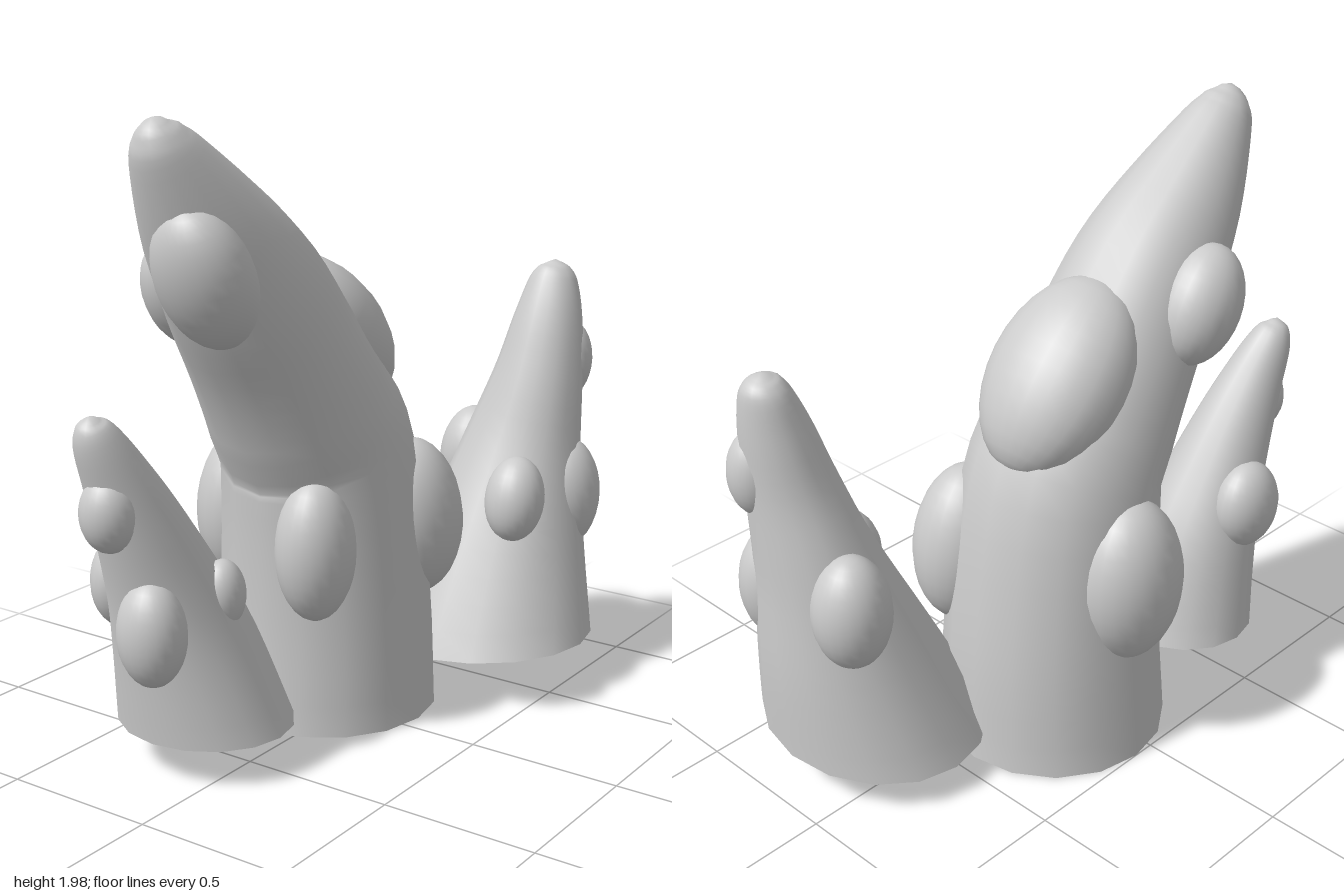
import * as THREE from 'three';

const material = new THREE.MeshStandardMaterial({ color: 0xcccccc, side: THREE.DoubleSide });
const SIDES = 16, STEPS = 4;

// Bent, tapering spire. Each section is [x, y, z, radiusX, radiusZ]; baseNormal sets the cut at the foot.
function spire(name, sections, baseNormal) {
  const spline = (pts) => new THREE.CatmullRomCurve3(pts, false, 'catmullrom', 0.5);
  const path = spline(sections.map((s) => new THREE.Vector3(s[0], s[1], s[2])));
  const radii = spline(sections.map((s) => new THREE.Vector3(s[3], s[4] ?? s[3], 0)));
  const rings = (sections.length - 1) * STEPS;
  const up = new THREE.Vector3(...baseNormal).normalize();
  const verts = [], index = [];

  for (let i = 0; i <= rings; i++) {
    const t = i / rings;
    const c = path.getPoint(t), r = radii.getPoint(t);
    const tangent = up.clone().lerp(path.getTangent(t), Math.min(1, i / (STEPS * 2))).normalize();
    const u = new THREE.Vector3(1, 0, 0).addScaledVector(tangent, -tangent.x).normalize();
    const v = tangent.clone().cross(u);
    for (let j = 0; j < SIDES; j++) {
      const a = (j / SIDES) * Math.PI * 2;
      const p = c.clone().addScaledVector(u, r.x * Math.cos(a)).addScaledVector(v, r.y * Math.sin(a));
      verts.push(p.x, p.y, p.z);
    }
  }
  for (let i = 0; i < rings; i++) {
    for (let j = 0; j < SIDES; j++) {
      const k = (j + 1) % SIDES;
      const a = i * SIDES + j, b = i * SIDES + k;
      index.push(a, b, a + SIDES, b, b + SIDES, a + SIDES);
    }
  }
  // Rounded tip
  const end = path.getPoint(1).addScaledVector(path.getTangent(1), 0.01);
  const tip = verts.length / 3;
  verts.push(end.x, end.y, end.z);
  for (let j = 0; j < SIDES; j++) index.push(rings * SIDES + j, rings * SIDES + ((j + 1) % SIDES), tip);

  // Flat underside, kept apart so its rim stays sharp
  const capIndex = [];
  for (let j = 1; j < SIDES - 1; j++) capIndex.push(0, j + 1, j);

  const group = new THREE.Group();
  group.name = name;
  group.add(shell('body', verts, index), shell('underside', verts.slice(0, SIDES * 3), capIndex));
  return group;
}

function shell(name, verts, index) {
  const g = new THREE.BufferGeometry();
  g.setAttribute('position', new THREE.Float32BufferAttribute(verts, 3));
  g.setIndex(index);
  g.computeVertexNormals();
  const mesh = new THREE.Mesh(g, material);
  mesh.name = name;
  return mesh;
}

// Egg-shaped swellings: [x, y, z, semiX, semiY, semiZ, forward tilt]
function addBumps(group, list) {
  for (const [x, y, z, sx, sy, sz, tilt = 0] of list) {
    const mesh = new THREE.Mesh(new THREE.SphereGeometry(1, 24, 16), material);
    mesh.name = 'bump';
    mesh.position.set(x, y, z);
    mesh.scale.set(sx, sy, sz);
    mesh.rotation.x = tilt;
    group.add(mesh);
  }
  return group;
}

export function createModel() {
  const model = new THREE.Group();
  model.name = 'spireCluster';

  // Tall middle spire, bending forward
  const main = spire('mainSpire', [
    [-0.125, 0, -0.07, 0.375, 0.37],
    [-0.115, 0.4, -0.065, 0.35],
    [-0.11, 0.84, -0.015, 0.32],
    [-0.11, 1.04, 0.09, 0.3, 0.295],
    [-0.11, 1.25, 0.225, 0.275, 0.265],
    [-0.11, 1.465, 0.375, 0.245],
    [-0.115, 1.67, 0.54, 0.19],
    [-0.12, 1.86, 0.68, 0.115],
    [-0.12, 1.93, 0.722, 0.075],
    [-0.12, 1.968, 0.738, 0.03],
  ], [0, 1, 0]);
  addBumps(main, [
    [-0.05, 1.52, 0.61, 0.16, 0.23, 0.13, 0.42],
    [-0.34, 1.42, 0.35, 0.13, 0.195, 0.14, 0.5],
    [-0.4, 0.62, -0.02, 0.165, 0.28, 0.19],
    [-0.12, 1.24, -0.04, 0.235, 0.33, 0.19, 0.7],
    [0.05, 0.62, 0.22, 0.125, 0.23, 0.135],
    [0.12, 0.63, -0.23, 0.16, 0.27, 0.17, 0.15],
  ]);

  // Small spire in front
  const front = spire('frontSpire', [
    [-0.15, 0.125, 0.525, 0.287, 0.255],
    [-0.175, 0.4, 0.59, 0.22],
    [-0.19, 0.6, 0.665, 0.175],
    [-0.205, 0.8, 0.75, 0.135],
    [-0.22, 0.95, 0.82, 0.103],
    [-0.235, 1.06, 0.873, 0.077],
    [-0.24, 1.115, 0.897, 0.053],
    [-0.24, 1.14, 0.905, 0.022],
  ], [0, 1, 0]);
  addBumps(front, [
    [-0.21, 0.86, 0.865, 0.09, 0.12, 0.09],
    [-0.12, 0.49, 0.8, 0.11, 0.165, 0.1],
    [-0.345, 0.575, 0.65, 0.1, 0.155, 0.13],
    [-0.04, 0.56, 0.57, 0.07, 0.11, 0.075],
  ]);

  // Medium spire behind
  const back = spire('backSpire', [
    [0.175, 0.13, -0.595, 0.387, 0.345],
    [0.2, 0.45, -0.68, 0.29, 0.265],
    [0.23, 0.75, -0.745, 0.215, 0.185],
    [0.265, 1.0, -0.785, 0.16, 0.14],
    [0.28, 1.2, -0.82, 0.122, 0.11],
    [0.283, 1.33, -0.845, 0.088, 0.08],
    [0.284, 1.38, -0.852, 0.058],
    [0.284, 1.4, -0.854, 0.025],
  ], [-0.07, 1, 0.01]);
  addBumps(back, [
    [0.33, 1.07, -0.865, 0.09, 0.14, 0.09],
    [0.385, 0.62, -0.78, 0.12, 0.195, 0.125],
    [0.33, 0.645, -0.53, 0.1, 0.145, 0.1, -0.2],
    [0.02, 0.68, -0.79, 0.125, 0.19, 0.125],
  ]);

  model.add(main, front, back);
  return model;
}
